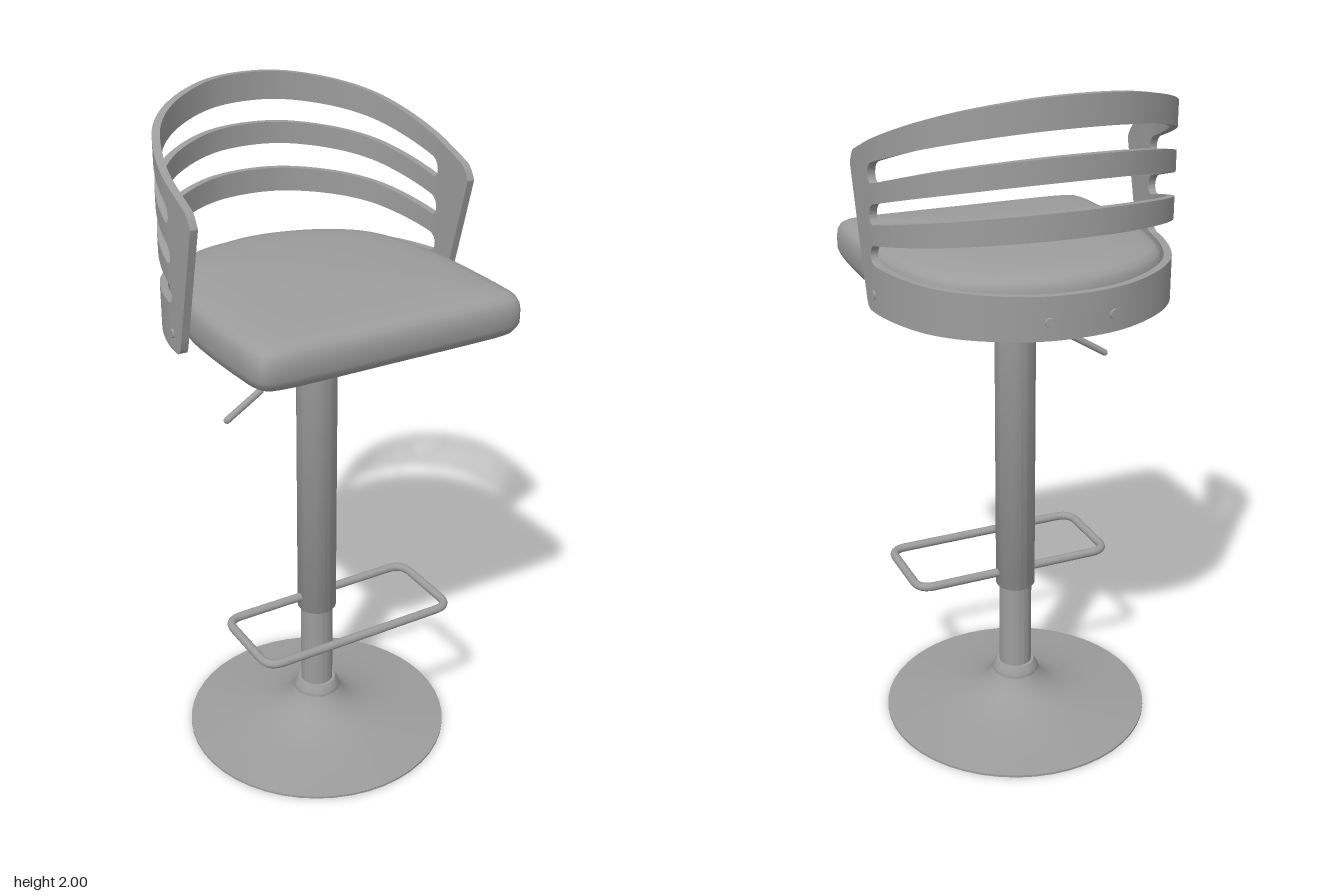
import * as THREE from 'three';
import { toCreasedNormals } from 'three/addons/utils/BufferGeometryUtils.js';

const grey = new THREE.MeshStandardMaterial({ color: 0x9c9c9c });
grey.name = 'satin grey';

const V = (x, y, z) => new THREE.Vector3(x, y, z);

function addMesh(parent, name, geometry) {
  const mesh = new THREE.Mesh(geometry, grey);
  mesh.name = name;
  parent.add(mesh);
  return mesh;
}

function lathe(points) {
  const g = new THREE.LatheGeometry(points.map(p => new THREE.Vector2(p[0], p[1])), 48);
  return toCreasedNormals(g, 0.6);
}

function makeGeometry(positions, index) {
  const g = new THREE.BufferGeometry();
  g.setAttribute('position', new THREE.Float32BufferAttribute(positions, 3));
  g.setIndex(index);
  return g;
}

// Mirror a half outline, running from or to x = 0, across x
const mirrored = half => half.slice().reverse().map(([x, z]) => [-x, z]);

// Cushion: the D-shaped outline scaled into rounded loops
function cushionGeometry() {
  const half = [[0, 0.432], [0.2, 0.432], [0.35, 0.428], [0.39, 0.415], [0.405, 0.38], [0.41, 0.3], [0.41, 0.12],
    [0.402, 0], [0.38, -0.12], [0.345, -0.225], [0.3, -0.285], [0.21, -0.345], [0.11, -0.38], [0, -0.395]];
  const outline = half.concat(mirrored(half).slice(1, -1)).map(([x, z]) => V(x, 0, z));
  const n = 104;
  const ring = new THREE.CatmullRomCurve3(outline, true).getPoints(n).slice(0, n);
  const loops = [[0, 1.403], [0.93, 1.403], [0.965, 1.41], [0.988, 1.425], [1, 1.45], [1, 1.485], [0.993, 1.505],
    [0.975, 1.52], [0.94, 1.53], [0.85, 1.539], [0.6, 1.549], [0.3, 1.555], [0, 1.557]];
  const pos = [], idx = [];
  loops.forEach(([s, y], i) => ring.forEach((p, j) => {
    pos.push(p.x * s, y + (i < 4 ? 0.03 * p.z * s : 0), 0.02 + (p.z - 0.02) * s);
    if (i === 0) return;
    const k = (j + 1) % n, a = (i - 1) * n + j, b = (i - 1) * n + k, c = i * n + k, d = i * n + j;
    if (i > 1) idx.push(a, b, c);
    if (i < loops.length - 1 || i === 1) idx.push(a, c, d);
    if (i === loops.length - 1) idx.push(); // top fan closes with the first triangle only
  }));
  return toCreasedNormals(makeGeometry(pos, idx), 0.7);
}

// Plan curve of the wrap-around backrest, from +x round the back to -x
const halfPlan = [[0.423, 0.12], [0.421, 0.03], [0.415, -0.06], [0.385, -0.172], [0.341, -0.26],
  [0.26, -0.34], [0.125, -0.409], [0, -0.426]];
const plan = new THREE.CatmullRomCurve3(
  halfPlan.concat(mirrored(halfPlan).slice(1)).map(([x, z]) => V(x, 0, z)));
const THICK = 0.011;

function planFrame(u) {
  const p = plan.getPointAt(u);
  const out = plan.getTangentAt(u).cross(V(0, 1, 0)).normalize();
  return { p, out };
}

// Parameter on the +x side where the plan curve reaches a given z
function paramAtZ(z) {
  let a = 0, b = 0.5;
  for (let i = 0; i < 30; i++) {
    const m = (a + b) / 2;
    if (plan.getPointAt(m).z > z) a = m; else b = m;
  }
  return a;
}

// Bent plate between two height rules lo(z) and hi(z)
function plateGeometry(u0, u1, lo, hi, steps) {
  const pos = [], idx = [];
  for (let i = 0; i <= steps; i++) {
    const u = u0 + (u1 - u0) * (0.5 - 0.5 * Math.cos(Math.PI * i / steps));
    const { p, out } = planFrame(Math.min(1, Math.max(0, u)));
    const l = lo(p.z), h = hi(p.z);
    for (const [side, y] of [[1, l], [1, h], [-1, h], [-1, l]])
      pos.push(p.x + out.x * THICK * side, y, p.z + out.z * THICK * side);
    if (i === 0) continue;
    for (let k = 0; k < 4; k++) {
      const a = (i - 1) * 4 + k, b = (i - 1) * 4 + (k + 1) % 4, c = b + 4, d = a + 4;
      idx.push(a, d, c, a, c, b);
    }
  }
  const e = steps * 4;
  idx.push(0, 1, 2, 0, 2, 3, e, e + 2, e + 1, e, e + 3, e + 2);
  return toCreasedNormals(makeGeometry(pos, idx), 0.6);
}

function buildBackrest() {
  const group = new THREE.Group();
  group.name = 'backrest';
  const slotZ = -0.02, backZ = -0.426;
  const topEdge = z => 2 - (z - backZ) * 0.384 - (z > 0.085 ? 0.03 * ((z - 0.085) / 0.035) ** 2 : 0);
  const bottomEdge = z => (z > 0.02 ? 1.39 + (z - 0.02) * 3.7 : 1.38 + 0.01 * Math.max(0, z / 0.02));

  // Slot edges run straight from the front end to the back, with rounded ends
  const line = (a, b) => z => a + (b - a) * (slotZ - z) / (slotZ - backZ);
  const slots = [[1.515, 1.565, 1.50, 1.645], [1.62, 1.675, 1.715, 1.79], [1.73, 1.785, 1.853, 1.92]]
    .map(([lowFront, highFront, lowBack, highBack]) => {
      const low = line(lowFront, lowBack), high = line(highFront, highBack);
      const edge = sign => z => {
        const d = Math.min(1, Math.max(0, (slotZ - z) / 0.025));
        const half = (high(z) - low(z)) / 2 * Math.sqrt(1 - (1 - d) ** 2);
        return (high(z) + low(z)) / 2 + sign * half;
      };
      return { low: edge(-1), high: edge(1) };
    });

  const uS = paramAtZ(slotZ);
  addMesh(group, 'leftPost', plateGeometry(0, uS, bottomEdge, topEdge, 24));
  addMesh(group, 'rightPost', plateGeometry(1 - uS, 1, bottomEdge, topEdge, 24));
  const names = ['lowerPanel', 'lowerSlat', 'middleSlat', 'topRail'];
  names.forEach((name, i) => {
    const lo = i ? slots[i - 1].high : bottomEdge;
    const hi = i < 3 ? slots[i].low : topEdge;
    addMesh(group, name, plateGeometry(uS, 1 - uS, lo, hi, 72));
  });

  // Fixing screws on the lower panel
  const uSide = paramAtZ(-0.03), uBack = paramAtZ(-0.418);
  for (const u of [uSide, uBack, 1 - uBack, 1 - uSide]) {
    const { p, out } = planFrame(u);
    const screw = addMesh(group, 'screw', new THREE.CylinderGeometry(0.012, 0.014, 0.006, 16));
    screw.position.copy(p).addScaledVector(out, THICK + 0.001).setY(1.43);
    screw.quaternion.setFromUnitVectors(V(0, 1, 0), out);
  }
  return group;
}

// Closed rectangular foot ring with rounded corners
function footrestGeometry() {
  const y = 0.475, r = 0.05, x = 0.315, z0 = 0, z1 = 0.268;
  const path = new THREE.CurvePath();
  const corners = [[-x, z0], [x, z0], [x, z1], [-x, z1]].map(([a, b]) => V(a, y, b));
  const near = (a, b) => a.clone().add(b.clone().sub(a).setLength(r));
  corners.forEach((c, i) => {
    const next = corners[(i + 1) % 4], after = corners[(i + 2) % 4];
    path.add(new THREE.LineCurve3(near(c, next), near(next, c)));
    path.add(new THREE.QuadraticBezierCurve3(near(next, c), next, near(next, after)));
  });
  return new THREE.TubeGeometry(path, 160, 0.013, 12, true);
}

export function createModel() {
  const model = new THREE.Group();
  model.name = 'barStool';

  // Pedestal
  addMesh(model, 'base', lathe([[0, 0], [0.41, 0], [0.41, 0.007], [0.33, 0.016], [0.25, 0.027], [0.18, 0.042],
    [0.13, 0.061], [0.1, 0.082], [0.08, 0.105], [0.072, 0.12]]));
  addMesh(model, 'baseCollar', lathe([[0.06, 0.115], [0.071, 0.116], [0.073, 0.122], [0.071, 0.13], [0.063, 0.145],
    [0.059, 0.152], [0.048, 0.153]]));
  addMesh(model, 'lowerColumn', lathe([[0.05, 0.1], [0.05, 0.45]]));
  addMesh(model, 'upperColumn', lathe([[0.048, 0.43], [0.058, 0.43], [0.06, 0.433], [0.06, 1.4]]));
  addMesh(model, 'seatFlange', lathe([[0.06, 1.365], [0.07, 1.372], [0.1, 1.398], [0.105, 1.41], [0, 1.41]]));
  addMesh(model, 'footrest', footrestGeometry());

  // Height lever with a thicker grip
  const stem = new THREE.CatmullRomCurve3([V(-0.06, 1.4, 0), V(-0.085, 1.35, 0), V(-0.125, 1.275, 0),
    V(-0.145, 1.245, 0), V(-0.19, 1.213, 0)]);
  addMesh(model, 'leverStem', new THREE.TubeGeometry(stem, 24, 0.006, 10));
  const grip = addMesh(model, 'leverGrip', new THREE.CapsuleGeometry(0.01, 0.125, 4, 12));
  grip.position.set(-0.238, 1.18, 0);
  grip.quaternion.setFromUnitVectors(V(0, 1, 0), V(0.118, 0.073, 0).normalize());

  // Seat
  addMesh(model, 'seatCushion', cushionGeometry());
  model.add(buildBackrest());
  return model;
}
